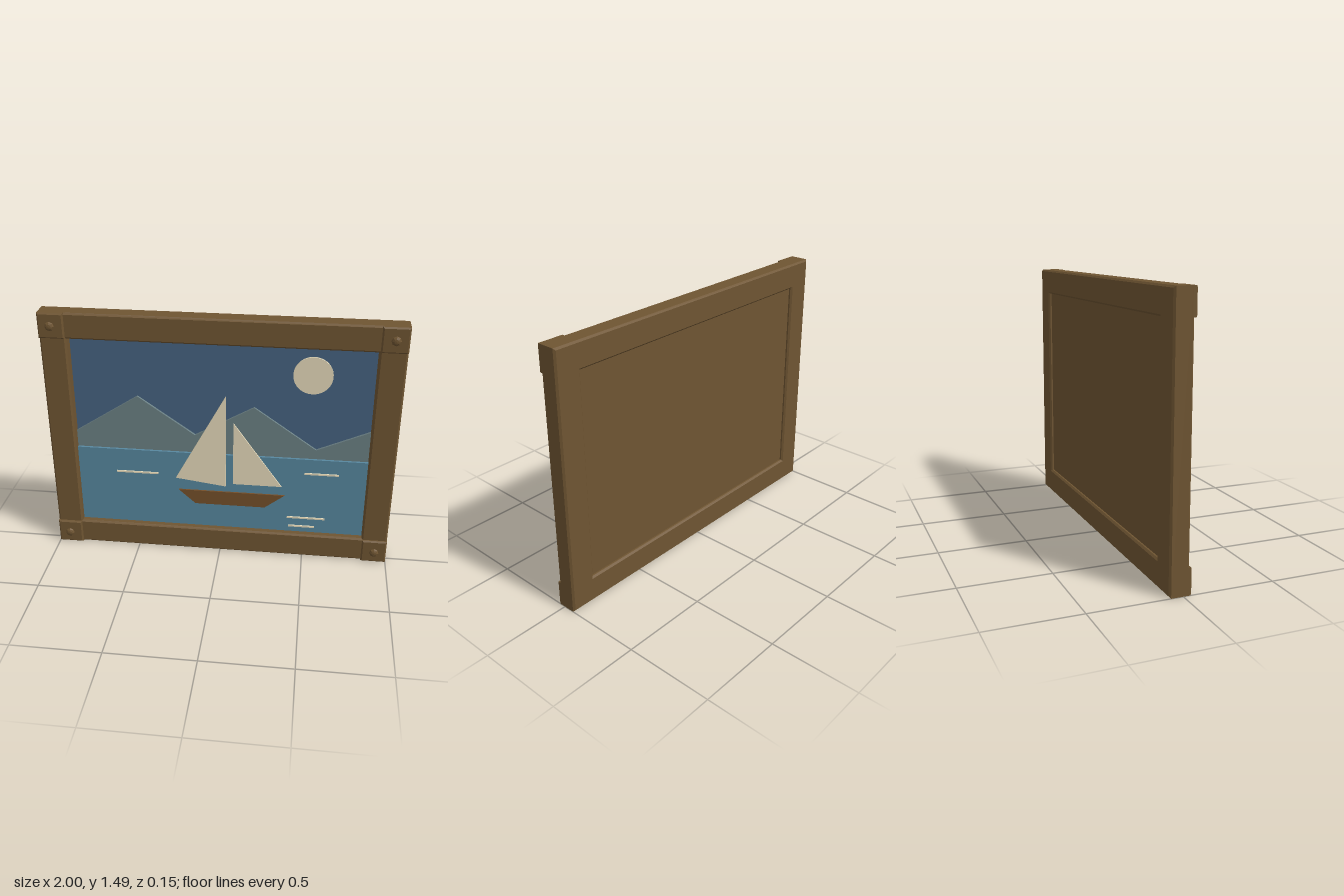
import * as THREE from 'three';

const mat = (name, color) => {
  const m = new THREE.MeshStandardMaterial({ color });
  m.name = name;
  return m;
};

const W = 1, H = 1.49, MID = H / 2;       // half width, full height, centre height
const IN_X = 0.85, IN_Y0 = 0.15, IN_Y1 = 1.34; // opening of the frame
const BACK = -0.075;

const rectPoints = (x0, y0, x1, y1) => [[x0, y0], [x1, y0], [x1, y1], [x0, y1]];
const toShape = (pts) => new THREE.Shape(pts.map(([x, y]) => new THREE.Vector2(x, y)));

// Flat slab of an outline between two depths, optionally with chamfered edges
function slab(shape, z0, z1, chamfer = 0) {
  const geo = new THREE.ExtrudeGeometry(shape, {
    depth: z1 - z0 - 2 * chamfer,
    bevelEnabled: chamfer > 0,
    bevelSize: chamfer,
    bevelThickness: chamfer,
    bevelOffset: -chamfer,
    bevelSegments: 1,
    curveSegments: 32,
  });
  geo.translate(0, 0, z0 + chamfer);
  return geo;
}

export function createModel() {
  const group = new THREE.Group();
  group.name = 'framedSailboatPicture';

  const wood = mat('frame brown', 0x6f5532);
  const hullWood = mat('hull brown', 0x754f29);
  const skyBlue = mat('sky blue', 0x466380);
  const waterBlue = mat('water blue', 0x57879f);
  const hillGrey = mat('mountain grey', 0x6b8084);
  const cream = mat('cream', 0xe6dbbb);

  const add = (name, geo, material, parent = group) => {
    const mesh = new THREE.Mesh(geo, material);
    mesh.name = name;
    parent.add(mesh);
    return mesh;
  };

  // Frame with a chamfered rectangular opening
  const frame = toShape(rectPoints(-W, 0, W, H));
  frame.holes.push(toShape(rectPoints(-IN_X, IN_Y0, IN_X, IN_Y1)));
  add('frame', slab(frame, BACK, 0.032, 0.01), wood);

  // Recessed backing board
  const board = toShape(rectPoints(-IN_X - 0.01, IN_Y0 - 0.01, IN_X + 0.01, IN_Y1 + 0.01));
  add('backBoard', slab(board, -0.056, -0.04), wood);

  // Raised corner blocks, each with a faceted stud
  const blockGeo = slab(toShape(rectPoints(-0.073, -0.073, 0.073, 0.073)), -0.01, 0.046, 0.008);
  const studGeo = new THREE.SphereGeometry(0.027, 8, 6).toNonIndexed();
  studGeo.rotateX(Math.PI / 2);
  studGeo.scale(1, 1, 0.52);
  studGeo.translate(0, 0, 0.061);
  studGeo.computeVertexNormals();
  const stemGeo = new THREE.CylinderGeometry(0.01, 0.01, 0.02, 8);
  stemGeo.rotateX(Math.PI / 2);
  stemGeo.translate(0, 0, 0.05);
  for (const sx of [-1, 1]) {
    for (const sy of [-1, 1]) {
      const corner = new THREE.Group();
      corner.name = (sy > 0 ? 'upper' : 'lower') + (sx > 0 ? 'Left' : 'Right') + 'Corner';
      corner.position.set(sx * (W - 0.073), MID + sy * (MID - 0.073), 0);
      add('cornerBlock', blockGeo, wood, corner);
      // Studs sit slightly above and outside the block centres
      for (const [name, geo] of [['studStem', stemGeo], ['stud', studGeo]]) {
        add(name, geo, wood, corner).position.y = 0.004;
      }
      group.add(corner);
    }
  }

  // Layered picture, from back to front
  const e = IN_X + 0.005, bottom = IN_Y0 - 0.005;
  add('sky', slab(toShape(rectPoints(-e, bottom, e, IN_Y1 + 0.005)), -0.04, -0.034), skyBlue);
  add('mountains', slab(toShape([
    [-e, bottom], [e, bottom], [e, 0.84], [0.55, 0.705], [0.19, 0.955],
    [-0.15, 0.76], [-0.48, 0.99], [-e, 0.747],
  ]), -0.034, -0.02), hillGrey);
  add('water', slab(toShape(rectPoints(-e, bottom, e, 0.648)), -0.02, -0.006), waterBlue);

  // Moon
  const moon = new THREE.Shape();
  moon.absarc(0.51, 1.165, 0.11, 0, Math.PI * 2);
  add('moon', slab(moon, -0.034, -0.025), cream);

  // Boat
  add('hull', slab(toShape([[-0.15, 0.31], [0.265, 0.31], [0.38, 0.4], [-0.25, 0.4]]),
    -0.006, 0.003), hullWood);
  add('mainSail', slab(toShape([[-0.265, 0.48], [0.032, 0.44], [0.032, 1.03]]), -0.006, 0.003), cream);
  add('foreSail', slab(toShape([[0.075, 0.46], [0.36, 0.46], [0.075, 0.86]]), -0.006, 0.003), cream);

  // Glints on the water: start x, end x, height
  for (const [x0, x1, y] of [
    [-0.62, -0.37, 0.5], [0.49, 0.69, 0.556], [0.4, 0.625, 0.25], [0.41, 0.565, 0.19],
  ]) {
    add('waterGlint', slab(toShape(rectPoints(x0, y - 0.005, x1, y + 0.005)), -0.006, 0.001), cream);
  }

  return group;
}
